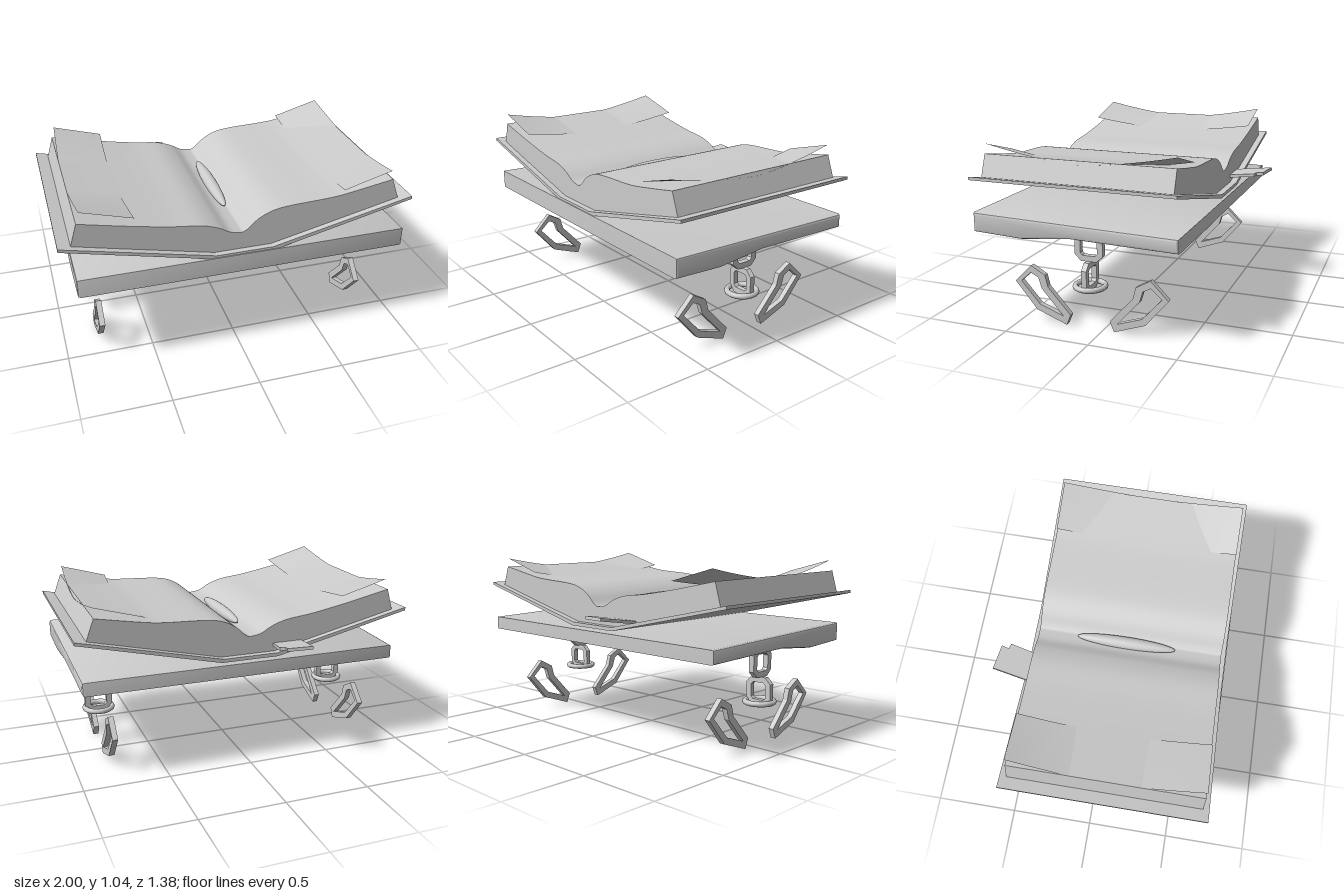
import * as THREE from 'three';
import { toCreasedNormals } from 'three/addons/utils/BufferGeometryUtils.js';

const grey = new THREE.MeshStandardMaterial({ color: 0xcccccc, side: THREE.DoubleSide });
grey.name = 'plain grey';

const V = (pts) => pts.map(([x, y]) => new THREE.Vector2(x, y));

function add(parent, name, geometry, crease = 0.5) {
  const mesh = new THREE.Mesh(crease ? toCreasedNormals(geometry, crease) : geometry, grey);
  mesh.name = name;
  parent.add(mesh);
  return mesh;
}

// Extrusion along z, centred on its own depth
function slab(points, depth, hole, bevel = 0) {
  const shape = new THREE.Shape(V(points));
  if (hole) shape.holes.push(new THREE.Path(V(hole)));
  const g = new THREE.ExtrudeGeometry(shape, {
    depth: depth - 2 * bevel, bevelEnabled: bevel > 0, bevelSize: bevel,
    bevelThickness: bevel, bevelOffset: -bevel, bevelSegments: 2,
  });
  return g.translate(0, 0, -depth / 2 + bevel);
}

// Same, but the outline is given as (z, y) and the depth runs along x
const sideSlab = (...args) => slab(...args).rotateY(-Math.PI / 2);

// Square outline with cut corners
function octagon(h, cut) {
  const k = h - cut;
  return [[h, -k], [h, k], [k, h], [-k, h], [-h, k], [-h, -k], [-k, -h], [k, -h]];
}

// Book: V-shaped cover, page block, curled leaves, gutter roll and bookmark
function makeBook() {
  const book = new THREE.Group();
  book.name = 'openBook';

  const cover = add(book, 'cover', slab([
    [-1, 0.85], [-0.165, 0.656], [0.18, 0.656], [1, 0.85],
    [1, 0.868], [0.17, 0.677], [-0.16, 0.677], [-1, 0.868],
  ], 1.175), 0.2);
  cover.position.z = 0.093;

  const curve = (pts) => new THREE.SplineCurve(V(pts)).getPoints(36).map((p) => [p.x, p.y]);
  const leftTop = curve([[-0.893, 0.98], [-0.61, 0.92], [-0.39, 0.88], [-0.235, 0.86],
    [-0.14, 0.83], [-0.07, 0.792], [-0.005, 0.78]]);
  const rightTop = curve([[0, 0.78], [0.03, 0.797], [0.09, 0.85], [0.17, 0.888],
    [0.275, 0.904], [0.49, 0.914], [0.61, 0.927], [0.885, 0.975]]);
  const pages = add(book, 'pages', slab([
    [-0.93, 0.853], ...leftTop, ...rightTop, [0.93, 0.853], [0.165, 0.675], [-0.16, 0.675],
  ], 1.1));
  pages.position.z = 0.095;

  // Leaves whose corners lift away from the page block
  const leaves = [
    { name: 'leftCurledLeaf', outer: [-0.893, 0.98], inner: [-0.605, 0.919], lift: [[-0.018, 0.082], [-0.014, 0.06]] },
    { name: 'rightCurledLeaf', outer: [0.89, 0.972], inner: [0.6, 0.925], lift: [[-0.018, 0.075], [-0.04, 0.065]] },
  ];
  for (const { name, outer, inner, lift } of leaves) {
    const g = new THREE.PlaneGeometry(1, 1, 6, 24);
    const p = g.attributes.position;
    const flip = outer[0] > 0;
    for (let i = 0; i < p.count; i++) {
      const u = flip ? 0.5 - p.getX(i) : p.getX(i) + 0.5;
      const v = -p.getY(i) * 2;
      const t = Math.abs(v) ** 1.5;
      const rise = THREE.MathUtils.lerp(lift[0][0] + lift[0][1] * t, lift[1][0] + lift[1][1] * t, u);
      const x = THREE.MathUtils.lerp(outer[0], inner[0], u);
      const y = THREE.MathUtils.lerp(outer[1], inner[1], u);
      p.setXYZ(i, x - Math.sign(x) * rise * 0.28, y + rise, 0.095 + 0.55 * v);
    }
    g.computeVertexNormals();
    add(book, name, g, 0);
  }

  // Slim roll lying in the gutter
  const roll = add(book, 'gutterRoll', new THREE.SphereGeometry(1, 24, 16).rotateX(Math.PI / 2), 0);
  roll.scale.set(0.037, 0.035, 0.295);
  roll.position.set(-0.018, 0.8, 0.075);

  // Notched bookmark sticking out at the back, rising slightly
  const mark = add(book, 'bookmark', slab([
    [-0.29, 0.2], [-0.335, -0.1], [-0.16, -0.1], [-0.118, 0.125], [-0.15, 0.135], [-0.14, 0.178],
  ], 0.018));
  mark.position.set(0, 0.722, -0.49);
  mark.rotation.x = -Math.PI / 2 + 0.15;
  return book;
}

// Hanging chain with a horizontal ring and two angular loops
function makeHanger(x) {
  const hanger = new THREE.Group();
  hanger.name = x > 0 ? 'leftHanger' : 'rightHanger';
  hanger.position.set(x, 0, 0.0775);

  add(hanger, 'upperLink', sideSlab(octagon(0.083, 0.036), 0.033, octagon(0.05, 0.014))).position.y = 0.482;
  add(hanger, 'lowerLink', slab(octagon(0.083, 0.036), 0.03, octagon(0.05, 0.014))).position.y = 0.317;
  add(hanger, 'ring', new THREE.TorusGeometry(0.083, 0.016, 10, 28).rotateX(Math.PI / 2), 0).position.y = 0.255;

  const outline = [[0.36, 0.333], [0.275, 0.285], [0.257, 0.217], [0.12, 0.066],
    [0.145, 0.005], [0.33, 0.072], [0.463, 0.23]];
  const hole = [[0.363, 0.29], [0.316, 0.266], [0.297, 0.203], [0.165, 0.055],
    [0.31, 0.106], [0.425, 0.234]];
  for (const s of [1, -1]) {
    const flip = (pts) => pts.map(([z, y]) => [z * s, y]);
    add(hanger, s > 0 ? 'frontLoop' : 'backLoop', sideSlab(flip(outline), 0.033, flip(hole)), 0.1);
  }
  return hanger;
}

export function createModel() {
  const model = new THREE.Group();
  model.name = 'hangingBookSign';

  // Board with a gently uneven underside
  const board = add(model, 'board', sideSlab([
    [0.686, 0.663], [-0.495, 0.637], [-0.495, 0.558], [-0.2, 0.564],
    [0.11, 0.571], [0.25, 0.556], [0.4, 0.541], [0.686, 0.553],
  ], 1.895, null, 0.014), 0.4);
  board.position.x = 0.025;

  model.add(makeBook());
  for (const x of [-0.792, 0.786]) model.add(makeHanger(x));
  return model;
}
